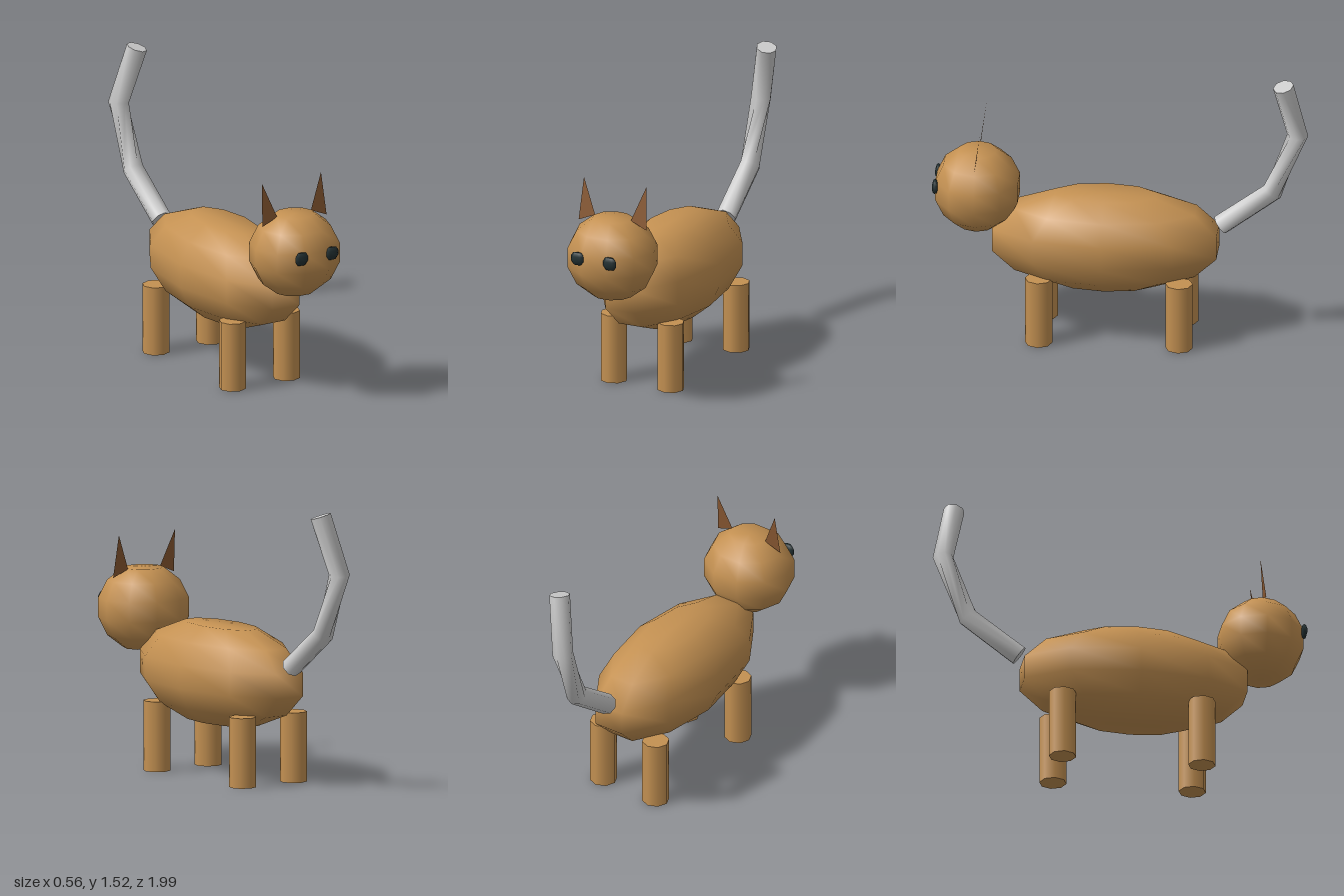
import * as THREE from 'three';

const material = (name, color) => {
  const m = new THREE.MeshStandardMaterial({ color });
  m.name = name;
  return m;
};

// Faceted ellipsoid with smooth normals and flattened poles
function cutSphere(rx, ry, rz, segments, rings) {
  const g = new THREE.SphereGeometry(1, segments, rings);
  const p = g.attributes.position;
  const limit = Math.cos(Math.PI / rings);
  for (let i = 0; i < p.count; i++) {
    p.setY(i, THREE.MathUtils.clamp(p.getY(i), -limit, limit));
  }
  return g.scale(rx, ry, rz);
}

// Tube through mitred rings, each with its own twist, with closed ends
function twistedTube(path, radius, twists, sides) {
  const side = [], caps = [];
  const rings = path.map((c, i) => {
    const dir = new THREE.Vector3();
    if (i > 0) dir.add(c.clone().sub(path[i - 1]).normalize());
    if (i < path.length - 1) dir.add(path[i + 1].clone().sub(c).normalize());
    dir.normalize();
    const u = new THREE.Vector3(1, 0, 0).addScaledVector(dir, -dir.x).normalize();
    const v = dir.clone().cross(u);
    const ring = [];
    for (let k = 0; k < sides; k++) {
      const a = (k / sides) * Math.PI * 2 + twists[i];
      ring.push(c.clone()
        .addScaledVector(u, Math.cos(a) * radius)
        .addScaledVector(v, Math.sin(a) * radius));
    }
    return ring;
  });
  const positions = rings.flat().flatMap((p) => p.toArray());
  for (let i = 0; i < path.length - 1; i++) {
    for (let k = 0; k < sides; k++) {
      const a = i * sides + k, b = i * sides + (k + 1) % sides;
      side.push(a, b, a + sides, b, b + sides, a + sides);
    }
  }
  // Separate end vertices keep the rims sharp
  for (const end of [0, path.length - 1]) {
    const base = positions.length / 3;
    rings[end].forEach((p) => positions.push(...p.toArray()));
    for (let k = 1; k < sides - 1; k++) {
      if (end === 0) caps.push(base, base + k + 1, base + k);
      else caps.push(base, base + k, base + k + 1);
    }
  }
  const g = new THREE.BufferGeometry();
  g.setAttribute('position', new THREE.Float32BufferAttribute(positions, 3));
  g.setIndex([...side, ...caps]);
  g.computeVertexNormals();
  return g;
}

export function createModel() {
  const fur = material('fur', 0xc49152);
  const earBrown = material('ear brown', 0x8b5a33);
  earBrown.side = THREE.DoubleSide;
  const eyeBlack = material('eye black', 0x223032);
  const tailGrey = material('tail grey', 0xcccccc);

  const model = new THREE.Group();
  model.name = 'cat';
  const add = (name, geometry, mat, x = 0, y = 0, z = 0) => {
    const mesh = new THREE.Mesh(geometry, mat);
    mesh.name = name;
    mesh.position.set(x, y, z);
    model.add(mesh);
    return mesh;
  };

  // Body and head
  add('body', cutSphere(0.287, 0.288, 0.645, 10, 7), fur, 0, 0.55, 0.083);
  add('head', cutSphere(0.252, 0.2385, 0.237, 10, 7), fur, 0, 0.82, 0.765);

  const legGeometry = new THREE.CylinderGeometry(0.073, 0.073, 0.376, 8);
  const eyeGeometry = cutSphere(0.042, 0.041, 0.018, 6, 5);

  for (const s of [1, -1]) {
    const label = s > 0 ? 'left' : 'right';

    // Legs
    add(label + 'FrontLeg', legGeometry, fur, s * 0.17, 0.188, 0.424);
    add(label + 'BackLeg', legGeometry, fur, s * 0.17, 0.188, -0.324);

    // Eyes
    add(label + 'Eye', eyeGeometry, eyeBlack, s * 0.096, 0.855, 0.983);

    // Ears: single thin triangles leaning back
    const outer = [s * 0.203, 0.993, 0.765];
    const inner = [s * 0.107, 1.032, 0.76];
    const tip = [s * 0.187, 1.225, 0.735];
    const corners = s > 0 ? [inner, outer, tip] : [outer, inner, tip];
    const ear = new THREE.BufferGeometry();
    ear.setAttribute('position', new THREE.Float32BufferAttribute(corners.flat(), 3));
    ear.computeVertexNormals();
    add(label + 'Ear', ear, earBrown);
  }

  // Bent tail, twisted along its middle section
  const path = [
    [0, 0.652, -0.53], [0, 0.858, -0.805], [-0.006, 1.195, -0.94], [0.065, 1.508, -0.87],
  ].map((p) => new THREE.Vector3(...p));
  add('tail', twistedTube(path, 0.056, [0, 0, 1.6, 1.6], 8), tailGrey);

  return model;
}
